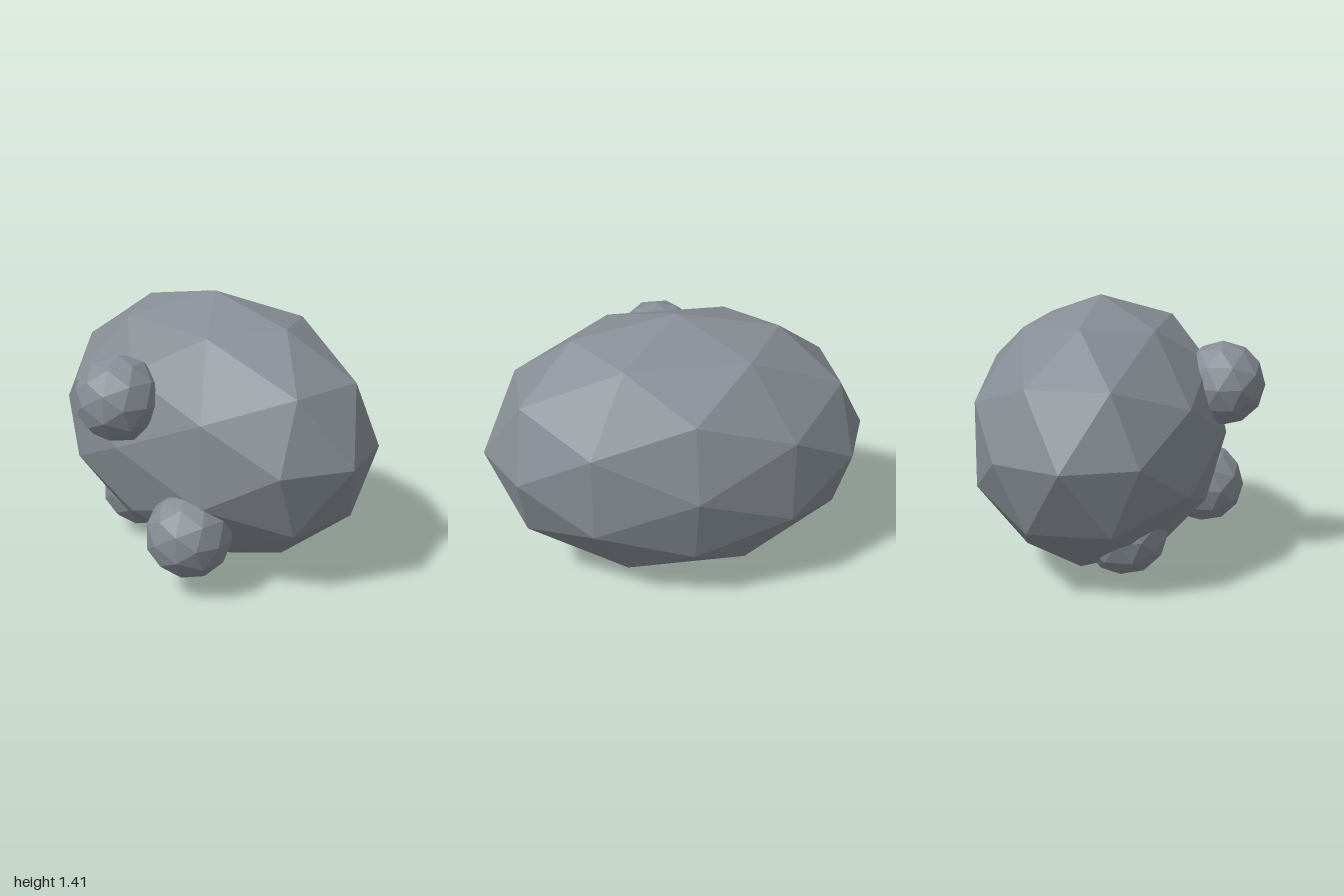
import * as THREE from 'three';

export function createModel() {
  const group = new THREE.Group();
  const stone = new THREE.MeshStandardMaterial({ color: 0x868d94, flatShading: true });
  stone.name = 'stoneGrey';

  // Faceted ellipsoid, scaled in the geometry so that faces keep true normals
  function facetedStone(name, size, position) {
    const geometry = new THREE.IcosahedronGeometry(1, 1);
    geometry.scale(...size);
    geometry.computeVertexNormals();
    const mesh = new THREE.Mesh(geometry, stone);
    mesh.name = name;
    mesh.position.set(...position);
    group.add(mesh);
  }

  // Main boulder
  facetedStone('boulder', [1, 0.705, 0.667], [0, 0.71, -0.098]);

  // Small round stones set into its front and underside
  const r = 0.222;
  facetedStone('upperPebble', [r, r, r], [0, 0.968, 0.543]);
  facetedStone('leftPebble', [r, r, r], [0.383, 0.323, 0.413]);
  facetedStone('rightPebble', [r, r, r], [-0.383, 0.262, 0.098]);

  return group;
}
